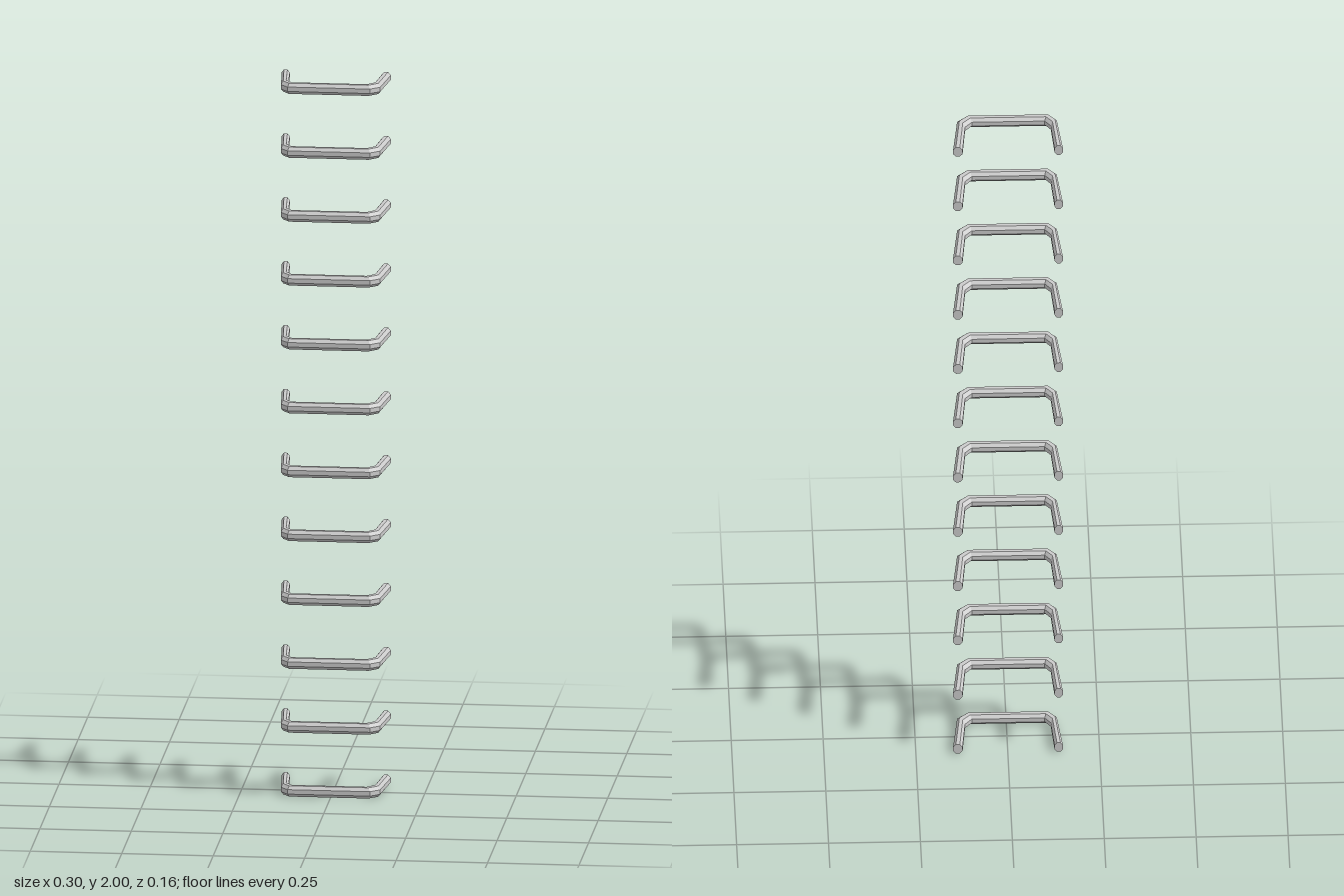
import * as THREE from 'three';

const RUNGS = 12, SIDES = 8, HEIGHT = 0.03;

// Cross-sections along the bent bar: outer x, z and inner x, z
const SECTIONS = [
  [-0.150, -0.080, -0.127, -0.080],
  [-0.137, 0.055, -0.120, 0.029],
  [-0.117, 0.079, -0.104, 0.052],
  [0.108, 0.079, 0.094, 0.052],
  [0.134, 0.055, 0.113, 0.029],
  [0.149, -0.081, 0.123, -0.081],
];

// Eight-sided bar with flat top, swept through the mitred sections
function rungGeometry() {
  const positions = [], index = [];
  const k = 1 / Math.cos(Math.PI / SIDES);
  for (const [ox, oz, ix, iz] of SECTIONS) {
    for (let j = 0; j < SIDES; j++) {
      const a = ((j + 0.5) / SIDES) * Math.PI * 2;
      const c = (Math.cos(a) * k) / 2, s = (Math.sin(a) * k) / 2;
      positions.push((ox + ix) / 2 + (ox - ix) * c, HEIGHT * s, (oz + iz) / 2 + (oz - iz) * c);
    }
  }
  const last = (SECTIONS.length - 1) * SIDES;
  for (let i = 0; i < last; i += SIDES) {
    for (let j = 0; j < SIDES; j++) {
      const n = (j + 1) % SIDES;
      index.push(i + j, i + SIDES + j, i + n);
      index.push(i + n, i + SIDES + j, i + SIDES + n);
    }
  }
  // End caps
  for (let j = 1; j < SIDES - 1; j++) {
    index.push(0, j, j + 1);
    index.push(last, last + j + 1, last + j);
  }
  const geometry = new THREE.BufferGeometry();
  geometry.setAttribute('position', new THREE.Float32BufferAttribute(positions, 3));
  geometry.setIndex(index);
  const flat = geometry.toNonIndexed();
  flat.computeVertexNormals();
  return flat;
}

export function createModel() {
  const ladder = new THREE.Group();
  ladder.name = 'wallLadder';
  const material = new THREE.MeshStandardMaterial({ color: 0xcccccc, flatShading: true });
  const geometry = rungGeometry();

  // Evenly spaced rungs from the ground up
  for (let i = 0; i < RUNGS; i++) {
    const rung = new THREE.Mesh(geometry, material);
    rung.name = `rung${i + 1}`;
    rung.position.y = HEIGHT / 2 + (i * (2 - HEIGHT)) / (RUNGS - 1);
    ladder.add(rung);
  }
  return ladder;
}
